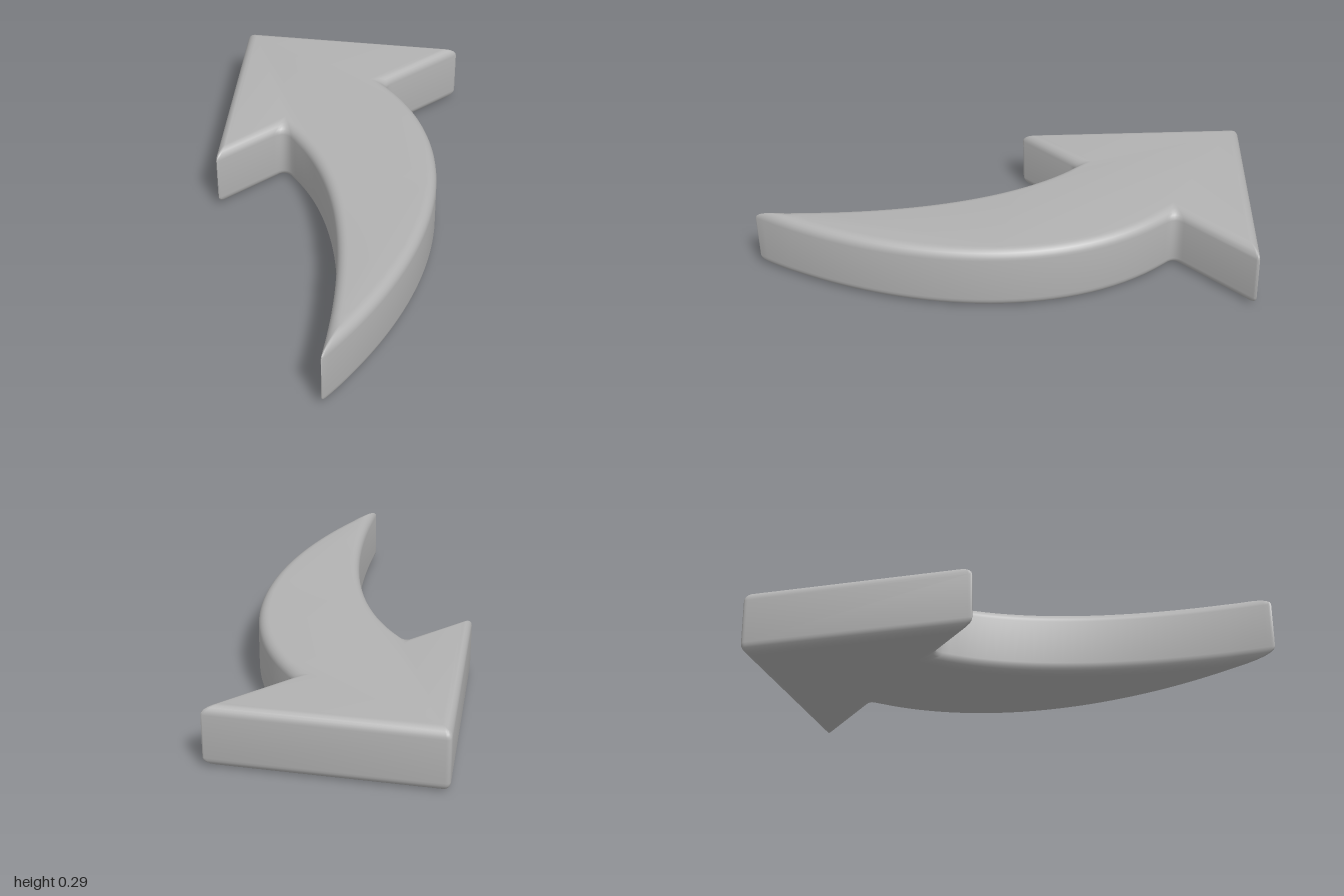
import * as THREE from 'three';
import { toCreasedNormals } from 'three/addons/utils/BufferGeometryUtils.js';

const HEIGHT = 0.29, BEVEL = 0.045, BEVEL_STEPS = 6, CORNER_STEPS = 6, CURVE_STEPS = 36;
const v = (x, z) => new THREE.Vector2(x, z);

// Inward normal for an outline running clockwise in plan (x right, z down)
const inward = (t) => v(-t.y, t.x);

// Plan outline: each point on the rim paired with its inset partner on the flat cap
function buildOutline() {
  const tip = v(-1.007, -0.2), backBarb = v(-0.262, -0.91), backNotch = v(-0.262, -0.438);
  const tail = v(1.003, 0.905), frontNotch = v(-0.262, 0.137), frontBarb = v(-0.262, 0.51);
  const edges = [
    new THREE.LineCurve(tip, backBarb),
    new THREE.LineCurve(backBarb, backNotch),
    new THREE.CubicBezierCurve(backNotch, v(0.4, -0.438), v(0.87, 0.2), tail),
    new THREE.CubicBezierCurve(tail, v(0.62, 0.46), v(0.16, 0.137), frontNotch),
    new THREE.LineCurve(frontNotch, frontBarb),
    new THREE.LineCurve(frontBarb, tip),
  ];

  // Corner i joins edge i - 1 to edge i
  const corners = edges.map((edge, i) => {
    const before = edges[(i + edges.length - 1) % edges.length];
    const tIn = before.getTangent(1), tOut = edge.getTangent(0);
    const n1 = inward(tIn), n2 = inward(tOut), dot = n1.dot(n2);
    const convex = tIn.cross(tOut) > 0;
    const point = edge.getPoint(0);
    const inner = n1.clone().add(n2).multiplyScalar(BEVEL / (1 + dot)).add(point);
    const foot = convex ? BEVEL * Math.sqrt((1 - dot) / (1 + dot)) * 1.04 : 0;
    return { point, inner, tIn, tOut, foot, cut: convex ? 0.024 : 0.055 };
  });

  const rim = [], cap = [];
  edges.forEach((edge, i) => {
    const c = corners[i], next = corners[(i + 1) % corners.length];
    // Small rounding on the rim, sharp corner on the cap
    const round = new THREE.QuadraticBezierCurve(
      c.point.clone().addScaledVector(c.tIn, -c.cut), c.point,
      c.point.clone().addScaledVector(c.tOut, c.cut));
    for (const p of round.getPoints(CORNER_STEPS)) {
      rim.push(p);
      cap.push(c.inner);
    }
    if (edge.isLineCurve) return;
    // Samples along the curved sides
    for (let k = 1; k < CURVE_STEPS; k++) {
      const p = edge.getPointAt(k / CURVE_STEPS);
      const d0 = p.distanceTo(c.point), d1 = p.distanceTo(next.point);
      if (d0 < c.cut * 1.15 || d1 < next.cut * 1.15) continue;
      rim.push(p);
      if (d0 < c.foot) cap.push(c.inner);
      else if (d1 < next.foot) cap.push(next.inner);
      else cap.push(inward(edge.getTangentAt(k / CURVE_STEPS)).multiplyScalar(BEVEL).add(p));
    }
  });
  return { rim, cap };
}

function arrowGeometry() {
  const { rim, cap } = buildOutline();
  const count = rim.length, positions = [];

  // Stacked rings: lower bevel, wall, upper bevel
  const levels = [];
  for (let s = 0; s <= BEVEL_STEPS; s++) {
    const a = (s / BEVEL_STEPS) * Math.PI / 2;
    levels.push({ y: BEVEL * (1 - Math.cos(a)), inset: 1 - Math.sin(a) });
  }
  for (let s = BEVEL_STEPS; s >= 0; s--) {
    levels.push({ y: HEIGHT - levels[s].y, inset: levels[s].inset });
  }
  const rings = levels.map(({ y, inset }) => rim.map((p, j) => {
    const q = p.clone().lerp(cap[j], inset);
    return new THREE.Vector3(q.x, y, q.y);
  }));

  const tri = new THREE.Triangle();
  const addTriangle = (a, b, c) => {
    if (tri.set(a, b, c).getArea() < 1e-9) return;
    for (const p of [a, b, c]) positions.push(p.x, p.y, p.z);
  };
  for (let i = 0; i < rings.length - 1; i++) {
    for (let j = 0; j < count; j++) {
      const k = (j + 1) % count;
      const a = rings[i][j], b = rings[i][k], c = rings[i + 1][j], e = rings[i + 1][k];
      addTriangle(a, c, b);
      addTriangle(b, c, e);
    }
  }

  // Flat top and bottom
  const flat = cap.filter((p, j) => p.distanceTo(cap[(j + 1) % count]) > 1e-6);
  for (const [i, j, k] of THREE.ShapeUtils.triangulateShape(flat.slice(), [])) {
    const p = flat[i];
    let q = flat[j], r = flat[k];
    if (q.clone().sub(p).cross(r.clone().sub(p)) > 0) [q, r] = [r, q];
    const at = (s, y) => new THREE.Vector3(s.x, y, s.y);
    addTriangle(at(p, HEIGHT), at(q, HEIGHT), at(r, HEIGHT));
    addTriangle(at(p, 0), at(r, 0), at(q, 0));
  }

  const geometry = new THREE.BufferGeometry();
  geometry.setAttribute('position', new THREE.Float32BufferAttribute(positions, 3));
  return toCreasedNormals(geometry, 0.7);
}

export function createModel() {
  const grey = new THREE.MeshStandardMaterial({ color: 0xb2b2b2 });
  grey.name = 'grey';
  const arrow = new THREE.Mesh(arrowGeometry(), grey);
  arrow.name = 'curvedArrow';
  const model = new THREE.Group();
  model.name = 'arrow';
  model.add(arrow);
  return model;
}
